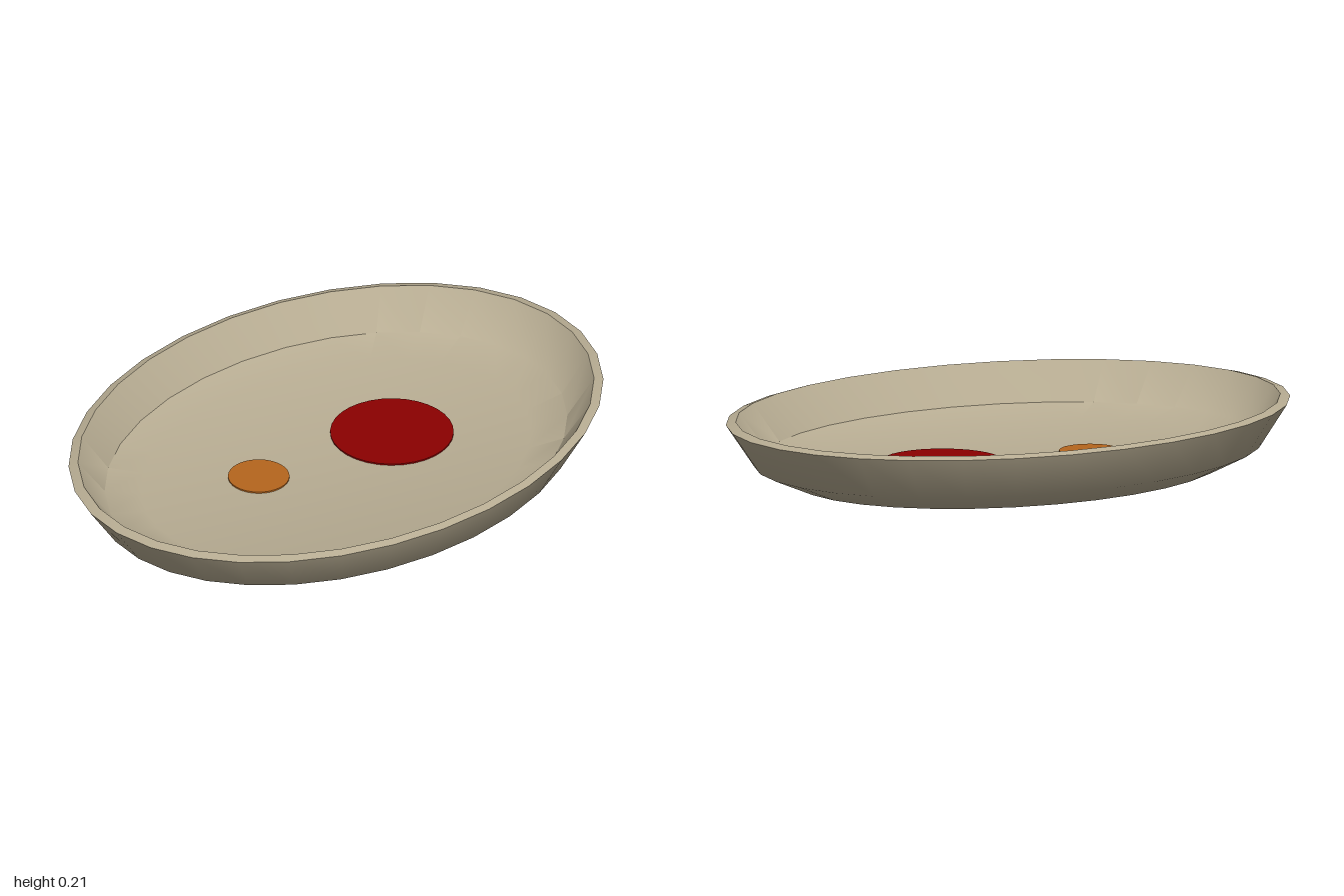
import * as THREE from 'three';
import { toCreasedNormals } from 'three/addons/utils/BufferGeometryUtils.js';

export function createModel() {
  const model = new THREE.Group();
  model.name = 'ovalDish';

  const material = (name, color) => {
    const m = new THREE.MeshStandardMaterial({ color });
    m.name = name;
    return m;
  };
  const stoneware = material('stoneware', 0xb8ad93);
  const darkRed = material('darkRed', 0x8b0000);
  const amber = material('amber', 0xb5651d);

  // Dish: one closed profile, from the underside out, over the rim and back to the floor
  const profile = [
    [0, 0], [0.76, 0], [0.9, 0.06], [1, 0.204],
    [0.965, 0.213], [0.865, 0.085], [0.73, 0.055], [0, 0.055],
  ].map(([r, y]) => new THREE.Vector2(r, y));
  const dishGeometry = new THREE.LatheGeometry(profile, 32);
  dishGeometry.scale(1, 1, 0.74);
  const dish = new THREE.Mesh(toCreasedNormals(dishGeometry, 0.72), stoneware);
  dish.name = 'dish';
  model.add(dish);

  // Flat round spots lying on the floor
  const addSpot = (name, radius, x, z, mat) => {
    const spot = new THREE.Mesh(new THREE.CylinderGeometry(radius, radius, 0.006, 32), mat);
    spot.name = name;
    spot.position.set(x, 0.057, z);
    model.add(spot);
  };
  addSpot('largeSpot', 0.205, 0.255, 0, darkRed);
  addSpot('smallSpot', 0.102, -0.256, -0.102, amber);

  return model;
}
